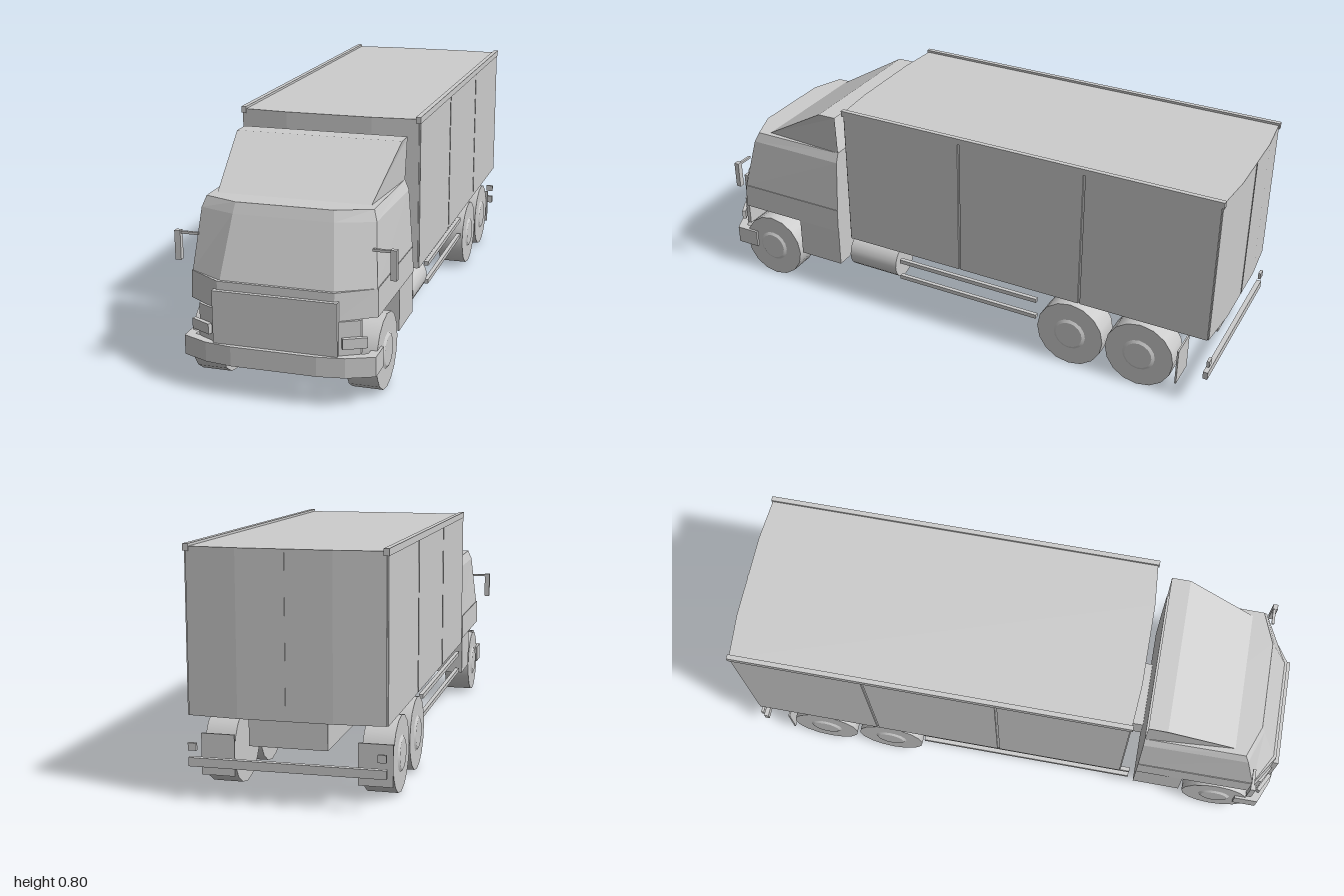
import * as THREE from 'three';

const grey = new THREE.MeshStandardMaterial({ color: 0xcccccc });
grey.name = 'light grey';
const greyShell = new THREE.MeshStandardMaterial({ color: 0xcccccc, side: THREE.DoubleSide });
greyShell.name = 'light grey shell';

function flatGeometry(triangles) {
  const g = new THREE.BufferGeometry();
  g.setAttribute('position', new THREE.Float32BufferAttribute(triangles.flat(), 3));
  g.computeVertexNormals();
  return g;
}

// Mirrored plan outline from its +x half, listed front to back
const mirrorPlan = half => [...half, ...half.map(([x, z]) => [-x, z]).reverse()];

// Closed solid through plan outlines at rising heights: [y, half outline]
function loft(levels) {
  const rings = levels.map(([y, half]) => mirrorPlan(half).map(([x, z]) => [x, y, z]));
  const n = rings[0].length, tris = [];
  for (let k = 0; k < rings.length - 1; k++) {
    for (let i = 0; i < n; i++) {
      const j = (i + 1) % n, lo = rings[k], hi = rings[k + 1];
      tris.push(...lo[i], ...lo[j], ...hi[j], ...lo[i], ...hi[j], ...hi[i]);
    }
  }
  const bottom = rings[0], top = rings[rings.length - 1];
  for (let i = 1; i < n - 1; i++) {
    tris.push(...top[0], ...top[i], ...top[i + 1]);
    tris.push(...bottom[0], ...bottom[i + 1], ...bottom[i]);
  }
  return flatGeometry(tris);
}

export function createModel() {
  const truck = new THREE.Group();
  truck.name = 'truck';

  const add = (name, geometry, material = grey) => {
    const m = new THREE.Mesh(geometry, material);
    m.name = name;
    truck.add(m);
    return m;
  };
  // Box given by its limits
  const box = (name, x0, x1, y0, y1, z0, z1) => {
    const m = add(name, new THREE.BoxGeometry(Math.abs(x1 - x0), y1 - y0, z1 - z0));
    m.position.set((x0 + x1) / 2, (y0 + y1) / 2, (z0 + z1) / 2);
    return m;
  };

  // Cab: vertical lower body, tapered window zone, bevelled roof edge
  add('cabBody', loft([
    [0.28, [[0.19, 0.975], [0.308, 0.9], [0.31, 0.472]]],
    [0.37, [[0.19, 0.97], [0.306, 0.895], [0.308, 0.472]]],
  ]));
  add('cabUpper', loft([
    [0.37, [[0.185, 0.96], [0.303, 0.895], [0.306, 0.472]]],
    [0.565, [[0.165, 0.888], [0.287, 0.845], [0.292, 0.472]]],
    [0.6, [[0.16, 0.874], [0.275, 0.83], [0.278, 0.472]]],
  ]));
  box('cabRearLower', -0.308, 0.308, 0.135, 0.28, 0.472, 0.648);
  add('frontPanel', loft([
    [0.17, [[0.2, 0.975], [0.265, 0.94], [0.265, 0.925]]],
    [0.28, [[0.2, 0.975], [0.265, 0.94], [0.265, 0.925]]],
  ]));
  box('grille', -0.203, 0.203, 0.17, 0.343, 0.965, 0.985);

  // Bumper: strip wrapped around the front corners
  const outer = [[0.315, 0.863], [0.315, 0.95], [0.228, 0.987], [0.14, 1.0]];
  const inner = [[0.14, 0.97], [0.22, 0.957], [0.285, 0.93], [0.285, 0.863]];
  const flip = pts => pts.map(([x, z]) => [-x, z]).reverse();
  const outline = [...outer, ...flip(outer), ...flip(inner), ...inner];
  const bumperShape = new THREE.Shape(outline.map(([x, z]) => new THREE.Vector2(x, -z)));
  const bumper = new THREE.ExtrudeGeometry(bumperShape, { depth: 0.065, bevelEnabled: false });
  bumper.rotateX(-Math.PI / 2);
  add('frontBumper', bumper).position.y = 0.105;

  // Roof fairing: open-backed shell
  const side = s => [[s * 0.255, 0.6, 0.79], [s * 0.285, 0.745, 0.54], [s * 0.285, 0.745, 0.472], [s * 0.278, 0.6, 0.472]];
  const [a, b, c, d] = side(1), [e, f, g, h] = side(-1);
  const quads = [[e, a, b, f], [f, b, c, g]];
  const fairing = quads.flatMap(q => [q[0], q[1], q[2], q[0], q[2], q[3]]);
  fairing.push(a, d, c, a, c, b, e, g, h, e, f, g);
  add('roofFairing', flatGeometry(fairing.flat()), greyShell);

  // Cargo box with bowed ends, side panels and top rails
  const cargoPlan = [[0.15, 0.427], [0.31, 0.415], [0.31, -0.985], [0.15, -0.998]];
  add('cargoBox', loft([[0.272, cargoPlan], [0.792, cargoPlan]]));
  box('doorSeam', -0.003, 0.003, 0.275, 0.79, -1.0, -0.995);
  const span = 1.4 / 3;
  for (const s of [1, -1]) {
    for (let i = 0; i < 3; i++) {
      const z = -0.985 + i * span;
      box('cargoSidePanel', s * 0.308, s * 0.315, 0.272, 0.785, z + 0.004, z + span - 0.004);
    }
    box('cargoTopRail', s * 0.3, s * 0.317, 0.778, 0.8, -0.99, 0.42);
  }

  // Chassis, fuel tank and side guards
  box('chassis', -0.125, 0.125, 0.18, 0.275, -0.965, 0.48);
  const tank = add('fuelTank', new THREE.CylinderGeometry(0.065, 0.065, 0.2, 20));
  tank.rotation.x = Math.PI / 2;
  tank.position.set(0.235, 0.185, 0.33);
  for (const s of [1, -1]) {
    for (const y of [0.143, 0.211]) {
      box('sideGuard', s * 0.285, s * 0.3, y, y + 0.015, -0.35, s > 0 ? 0.21 : 0.45);
    }
  }

  // Wheels with a shallow hub disc
  for (const s of [1, -1]) {
    for (const z of [0.788, -0.485, -0.745]) {
      const wheel = new THREE.Group();
      wheel.name = z > 0 ? 'frontWheel' : 'rearWheel';
      const tyre = new THREE.Mesh(new THREE.CylinderGeometry(0.125, 0.125, 0.1, 16), grey);
      tyre.name = 'tyre';
      const hub = new THREE.Mesh(new THREE.CylinderGeometry(0.05, 0.06, 0.006, 16), grey);
      hub.name = 'hub';
      hub.position.y = 0.053;
      wheel.add(tyre, hub);
      wheel.rotation.z = -s * Math.PI / 2;
      wheel.position.set(s * 0.256, 0.125, z);
      truck.add(wheel);
    }

    // Headlights on the angled corners, and mirrors
    const lamp = add('headlight', new THREE.BoxGeometry(0.078, 0.034, 0.014));
    lamp.position.set(s * 0.25, 0.212, 0.958);
    lamp.rotation.y = s * 0.48;
    box('mirrorArm', s * 0.285, s * 0.362, 0.484, 0.492, 0.876, 0.886);
    box('mirror', s * 0.343, s * 0.363, 0.398, 0.495, 0.874, 0.892);

    // Mudflaps and rear lights
    box('mudflap', s * 0.2, s * 0.31, 0.055, 0.19, -0.888, -0.882);
    box('rearLight', s * 0.285, s * 0.312, 0.163, 0.187, -0.997, -0.987);
  }
  box('rearBar', -0.312, 0.312, 0.112, 0.14, -0.995, -0.978);

  return truck;
}
